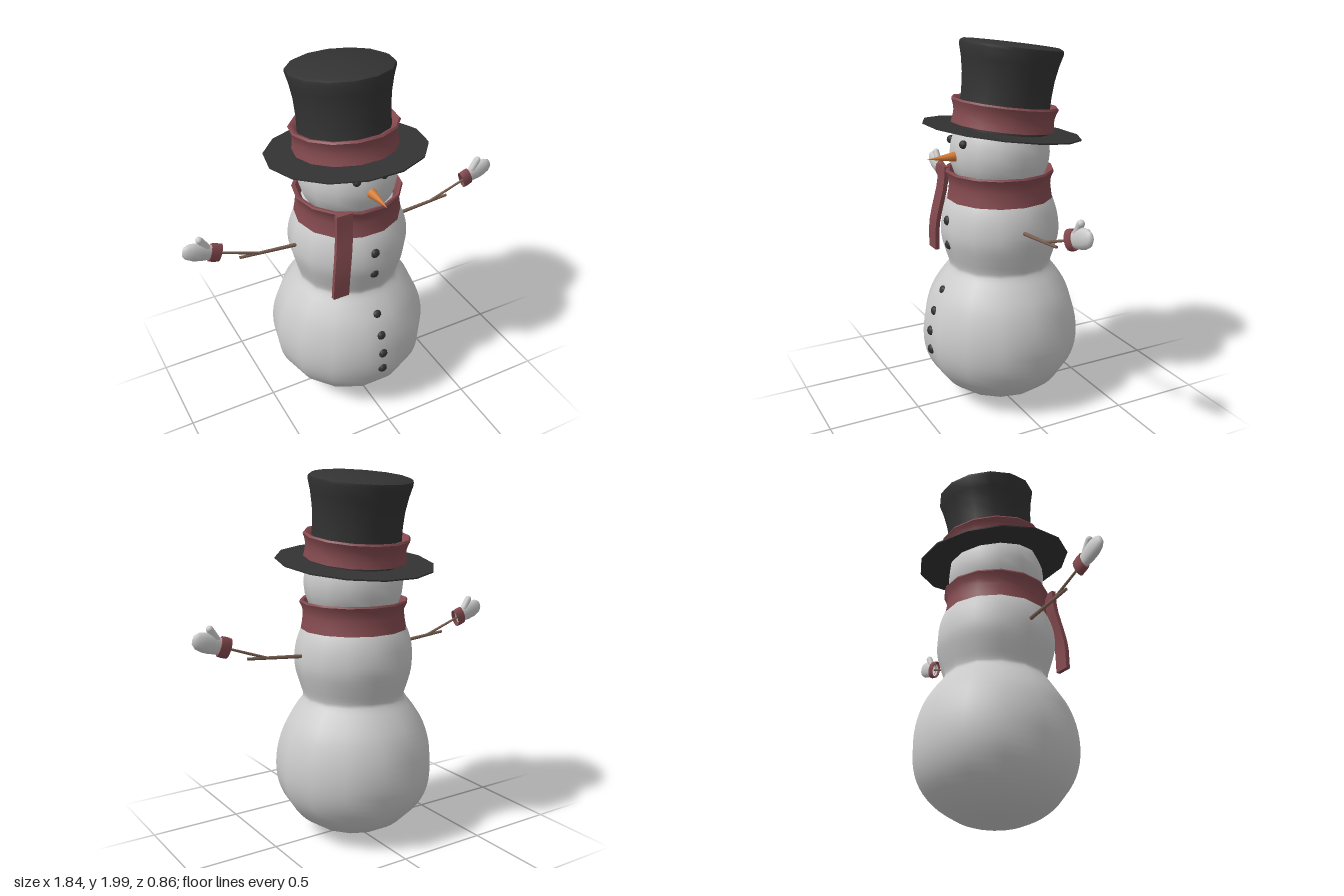
import * as THREE from 'three';
import { toCreasedNormals } from 'three/addons/utils/BufferGeometryUtils.js';

const SIDES = 14;
const mat = (color) => new THREE.MeshStandardMaterial({ color, side: THREE.DoubleSide });
const snow = mat(0xcccccc), black = mat(0x333333), wool = mat(0x844a4f);
const wood = mat(0x7a6052), orange = mat(0xd27a36);
const vecs = (pts) => pts.map(([x, y]) => new THREE.Vector2(x, y));

function add(parent, name, geometry, material, x = 0, y = 0, z = 0) {
  const mesh = new THREE.Mesh(geometry, material);
  mesh.name = name;
  mesh.position.set(x, y, z);
  parent.add(mesh);
  return mesh;
}

// Turned form with corners on the x axis; sharp profile bends stay creased
const turned = (pts, sides = SIDES) =>
  toCreasedNormals(new THREE.LatheGeometry(vecs(pts), sides, Math.PI / 2), 0.8);

// Tapered twig between two points
function twig(parent, name, a, b, r0, r1) {
  const from = new THREE.Vector3(...a), to = new THREE.Vector3(...b);
  const dir = to.clone().sub(from);
  const mesh = add(parent, name, new THREE.CylinderGeometry(r1, r0, dir.length(), 7), wood);
  mesh.position.copy(from).add(to).multiplyScalar(0.5);
  mesh.quaternion.setFromUnitVectors(new THREE.Vector3(0, 1, 0), dir.normalize());
}

function createArm(side) {
  const arm = new THREE.Group();
  arm.name = side > 0 ? 'leftArm' : 'rightArm';
  twig(arm, 'armStick', [0.28, 1.037, 0.01], [0.63, 1.066, 0.01], 0.011, 0.008);
  twig(arm, 'armBranch', [0.52, 1.057, 0.01], [0.76, 1.142, 0.01], 0.008, 0.006);

  // Mitten points along its own y axis, thumb on the upper side
  const hand = new THREE.Group();
  hand.name = 'mittenGroup';
  hand.position.set(0.73, 1.132, 0.008);
  hand.rotation.z = -THREE.MathUtils.degToRad(70);
  const palm = add(hand, 'mitten', turned([[0.04, 0.02], [0.043, 0.06], [0.05, 0.1],
    [0.051, 0.14], [0.043, 0.175], [0.026, 0.195], [0, 0.202]], 12), snow);
  const cuff = add(hand, 'mittenCuff', turned([[0.042, 0.005], [0.052, 0], [0.054, 0.03],
    [0.052, 0.055], [0.042, 0.055], [0.042, 0.005]], 12), wool);
  palm.scale.z = cuff.scale.z = 0.52;
  const thumb = add(hand, 'mittenThumb', new THREE.CapsuleGeometry(0.019, 0.06, 4, 10), snow, -0.05, 0.105, 0);
  thumb.rotation.z = 0.65;
  arm.add(hand);
  arm.scale.x = side;
  return arm;
}

function createHat() {
  const hat = new THREE.Group();
  hat.name = 'topHat';
  hat.position.set(0, 1.523, -0.022);
  hat.rotation.x = -0.128;
  add(hat, 'hatBrim', new THREE.CylinderGeometry(0.425, 0.425, 0.007, SIDES, 1, false, Math.PI / 2), black);
  add(hat, 'hatCrown', turned([[0.25, 0], [0.241, 0.1], [0.24, 0.19], [0.246, 0.28],
    [0.26, 0.36], [0.276, 0.42], [0.274, 0.436], [0.255, 0.446], [0, 0.447]]), black);
  add(hat, 'hatBand', turned([[0.24, 0.01], [0.278, 0.018], [0.272, 0.05], [0.27, 0.085],
    [0.277, 0.115], [0.287, 0.137], [0.28, 0.147], [0.262, 0.143], [0.24, 0.11]]), wool);
  return hat;
}

// Flat strip bent along a hanging curve
function scarfTail() {
  const path = new THREE.CatmullRomCurve3([
    [-0.155, 1.325, 0.25], [-0.158, 1.22, 0.258], [-0.175, 1.1, 0.28],
    [-0.192, 0.99, 0.295], [-0.2, 0.852, 0.295],
  ].map((p) => new THREE.Vector3(...p)));
  const geometry = new THREE.BoxGeometry(0.09, 1, 0.024, 1, 10, 1);
  const pos = geometry.attributes.position;
  for (let i = 0; i < pos.count; i++) {
    const c = path.getPoint(0.5 - pos.getY(i));
    pos.setXYZ(i, pos.getX(i) + c.x, c.y, pos.getZ(i) + c.z);
  }
  return toCreasedNormals(geometry, 0.8);
}

export function createModel() {
  const model = new THREE.Group();
  model.name = 'snowman';

  // Lower and middle snowballs flow into each other at the waist
  const profile = new THREE.SplineCurve(vecs([[0, 0.005], [0.12, 0.022], [0.225, 0.062],
    [0.315, 0.125], [0.385, 0.21], [0.424, 0.305], [0.435, 0.41], [0.422, 0.52], [0.385, 0.63],
    [0.33, 0.72], [0.285, 0.78], [0.28, 0.81], [0.298, 0.87], [0.32, 0.95], [0.324, 1.02],
    [0.312, 1.1], [0.28, 1.18], [0.22, 1.25], [0, 1.31]]));
  const body = profile.getPoints(48);
  body[0].x = body[48].x = 0;
  add(model, 'body', new THREE.LatheGeometry(body, SIDES, Math.PI / 2), snow, 0, 0, -0.008);

  const head = add(model, 'head', new THREE.SphereGeometry(0.27, SIDES, 14), snow, 0, 1.415, -0.008);
  head.scale.y = 0.98;

  // Face
  for (const side of [1, -1]) {
    add(model, side > 0 ? 'leftEye' : 'rightEye', new THREE.SphereGeometry(0.022, 10, 8), black, side * 0.077, 1.48, 0.238);
  }
  const nose = add(model, 'nose', new THREE.ConeGeometry(0.029, 0.165, 10), orange, 0, 1.404, 0.323);
  nose.rotation.x = Math.PI / 2;

  // Buttons, each sitting on the belly: height, depth
  [[1.063, 0.298], [0.93, 0.293], [0.673, 0.332], [0.563, 0.385], [0.452, 0.41], [0.342, 0.41]]
    .forEach(([y, z], i) => {
      const button = add(model, `button${i + 1}`, new THREE.SphereGeometry(0.027, 10, 8), black, 0, y, z);
      button.scale.z = 0.8;
    });

  // Scarf
  add(model, 'scarfWrap', turned([[0.255, 1.17], [0.288, 1.163], [0.281, 1.2], [0.275, 1.245],
    [0.278, 1.28], [0.293, 1.312], [0.288, 1.322], [0.272, 1.318], [0.25, 1.28]]), wool, 0, 0, -0.008);
  add(model, 'scarfTail', scarfTail(), wool);

  model.add(createHat(), createArm(1), createArm(-1));
  return model;
}
